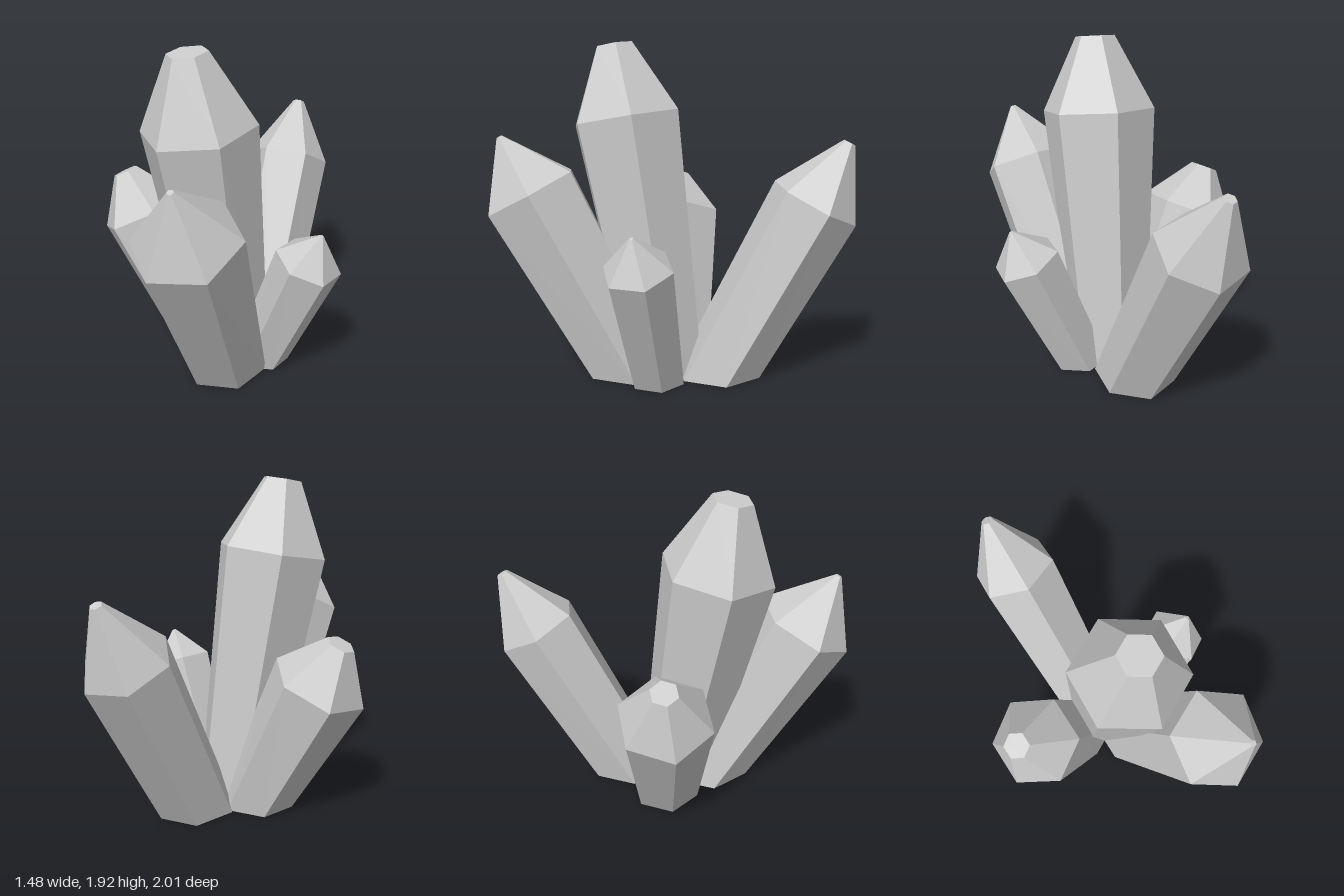
import * as THREE from 'three';

const SIDES = 6;

// base [x, z] on the floor, shoulder and tip [x, y, z] are ring centres;
// r = radius of the shaft at the base, at the shoulder and at the tip
const CRYSTALS = [
  { name: 'mainCrystal', base: [0.09, 0.005], shoulder: [-0.07, 1.485, 0.217], tip: [-0.114, 1.9, 0.275], r: [0.228, 0.332, 0.115] },
  { name: 'frontCrystal', base: [0.085, 0.212], shoulder: [-0.027, 1.068, 0.77], tip: [-0.06, 1.385, 0.94], r: [0.243, 0.298, 0.018] },
  { name: 'backCrystal', base: [0.212, -0.285], shoulder: [0.345, 1.025, -0.8], tip: [0.393, 1.365, -0.972], r: [0.227, 0.258, 0.035] },
  { name: 'rightCrystal', base: [-0.092, -0.09], shoulder: [-0.495, 0.827, -0.16], tip: [-0.615, 1.07, -0.186], r: [0.208, 0.277, 0.08] },
  { name: 'leftCrystal', base: [0.28, 0.085], shoulder: [0.555, 0.738, 0.228], tip: [0.622, 0.92, 0.268], r: [0.16, 0.196, 0.012] },
];

// Hexagonal shaft leaning along its axis, cut flat at the floor, with a tapered point
function crystalGeometry({ base, shoulder, tip, r }) {
  const foot = new THREE.Vector3(base[0], 0, base[1]);
  const neck = new THREE.Vector3(...shoulder);
  const top = new THREE.Vector3(...tip);
  const axis = neck.clone().sub(foot).normalize();
  const u = new THREE.Vector3(1, 0, 0).projectOnPlane(axis).normalize();
  const v = u.clone().cross(axis);

  const ring = (centre, radius) => Array.from({ length: SIDES }, (_, i) => {
    const a = (i / SIDES) * Math.PI * 2;
    return centre.clone()
      .addScaledVector(u, radius * Math.cos(a))
      .addScaledVector(v, radius * Math.sin(a));
  });

  // slide the lowest ring along the axis until it lies on the floor
  const lowest = ring(foot, r[0]).map((p) => p.addScaledVector(axis, -p.y / axis.y));
  const rings = [lowest, ring(neck, r[1]), ring(top, r[2])];

  const points = [];
  for (let i = 0; i < SIDES; i++) {
    const j = (i + 1) % SIDES;
    points.push(foot, rings[0][i], rings[0][j]);
    for (let k = 0; k < 2; k++) {
      const lo = rings[k], up = rings[k + 1];
      points.push(lo[i], up[i], up[j], lo[i], up[j], lo[j]);
    }
    points.push(top, rings[2][j], rings[2][i]);
  }
  const geometry = new THREE.BufferGeometry().setFromPoints(points);
  geometry.computeVertexNormals();
  return geometry;
}

export function createModel() {
  const group = new THREE.Group();
  group.name = 'crystalCluster';
  const material = new THREE.MeshStandardMaterial({ color: 0xcccccc, flatShading: true });
  for (const spec of CRYSTALS) {
    const mesh = new THREE.Mesh(crystalGeometry(spec), material);
    mesh.name = spec.name;
    group.add(mesh);
  }
  return group;
}
